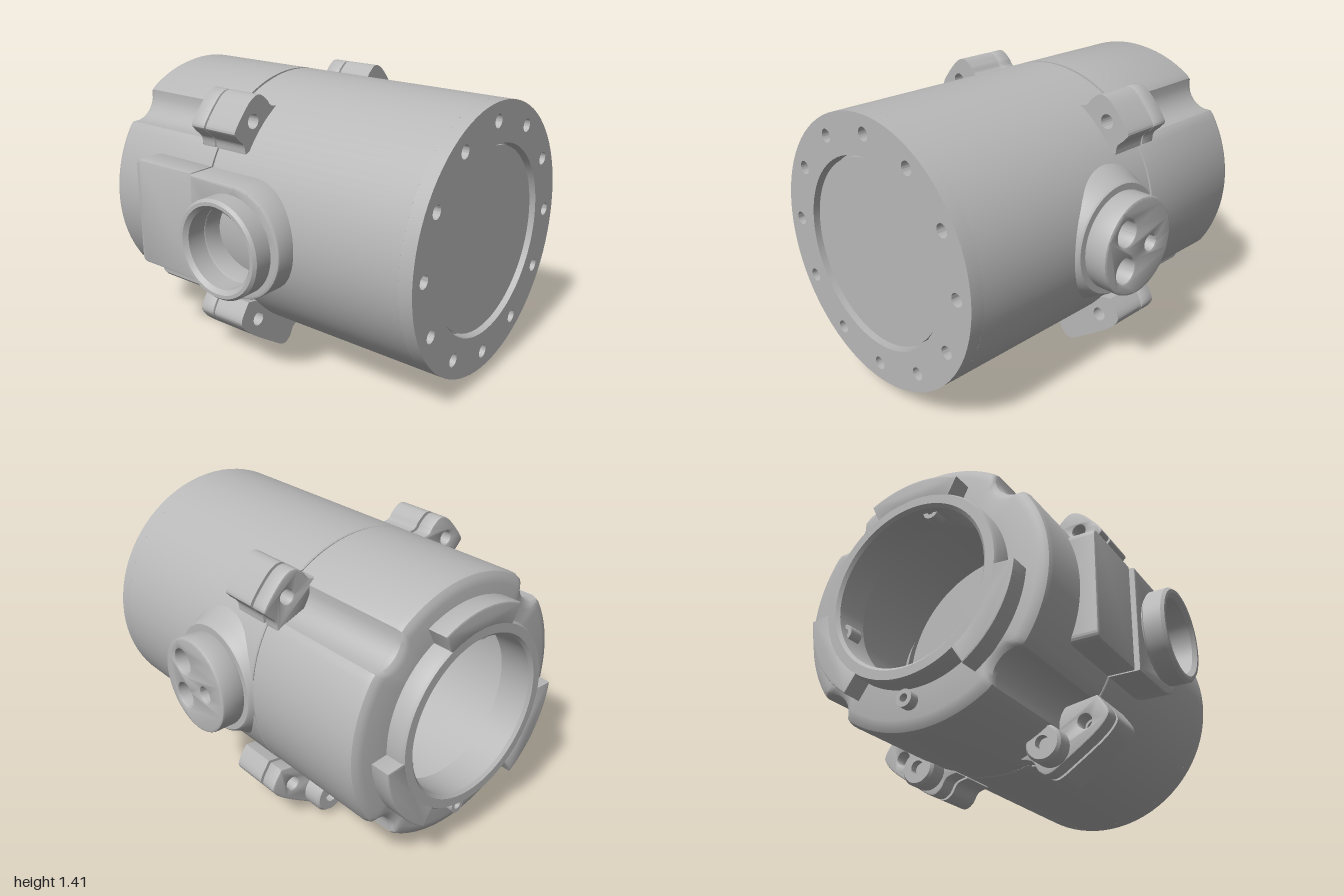
import * as THREE from 'three';
import { toCreasedNormals } from 'three/addons/utils/BufferGeometryUtils.js';

const metal = new THREE.MeshStandardMaterial({ color: 0xb8b8b8 });
metal.name = 'grey metal';
const V = (x, y) => new THREE.Vector2(x, y);
const R = 0.67; // main body radius

function part(parent, name, geo) {
  const mesh = new THREE.Mesh(toCreasedNormals(geo, 0.6), metal);
  mesh.name = name;
  parent.add(mesh);
  return mesh;
}

// Profile of [axial, radius] pairs turned about y; then laid along x or z
const turn = (profile, segments = 96) =>
  new THREE.LatheGeometry(profile.map(([a, r]) => V(r, a)), segments);
const turnX = (profile, segments) => turn(profile, segments).rotateZ(-Math.PI / 2);
const turnZ = (profile, segments) => turn(profile, segments).rotateX(Math.PI / 2);

// Extrusion between two positions on z or x, keeping its outline when bevelled
function extrudeZ(shape, from, to, bevel = 0) {
  return new THREE.ExtrudeGeometry(shape, {
    depth: to - from - 2 * bevel, curveSegments: 40,
    bevelEnabled: bevel > 0, bevelSize: bevel, bevelThickness: bevel,
    bevelOffset: -bevel, bevelSegments: 2,
  }).translate(0, 0, from + bevel);
}
const extrudeX = (shape, from, to, bevel) => extrudeZ(shape, from, to, bevel).rotateY(Math.PI / 2);

function circle(x, y, r, Type = THREE.Path) {
  const c = new Type();
  c.absarc(x, y, r, 0, Math.PI * 2, false);
  return c;
}

// Body radius with shallow flutes in line with the four lugs
function flutedRadius(angle) {
  const d = 0.735, rho = 0.13;
  const a = Math.abs(((angle % (Math.PI / 2)) + Math.PI / 2) % (Math.PI / 2) - Math.PI / 4);
  const s = d * Math.sin(a);
  return s >= rho ? R : Math.min(R, d * Math.cos(a) - Math.sqrt(rho * rho - s * s));
}

export function createModel() {
  const model = new THREE.Group();
  model.name = 'cylindrical housing';
  const g = new THREE.Group();
  g.name = 'housing assembly';
  g.position.set(0, 0.75, -0.04);
  model.add(g);

  // Main housing and the seam behind it
  part(g, 'mainHousing', turnX([[-0.2, 0], [-0.2, 0.665], [-0.195, R], [0.93, R], [0.93, 0]]));
  part(g, 'seamRing', turnX([[-0.22, 0.58], [-0.22, 0.66], [-0.19, 0.66]]));

  // Bolted end flange with recessed cover
  const flange = circle(0, 0, R, THREE.Shape);
  flange.holes.push(circle(0, 0, 0.47));
  for (let i = 0; i < 12; i++) {
    const a = i * Math.PI / 6;
    flange.holes.push(circle(0.58 * Math.cos(a), 0.58 * Math.sin(a), 0.033));
  }
  part(g, 'endFlange', extrudeX(flange, 0.93, 1));
  part(g, 'endCover', turnX([[0.92, 0.455], [0.975, 0.455], [0.975, 0]]));

  // Hollow, fluted rear housing
  const shell = turnX([[-0.9, 0.41], [-0.9, 0.61], [-0.892, 0.64], [-0.88, 0.66], [-0.855, R],
    [-0.212, R], [-0.212, 0.57], [-0.82, 0.57], [-0.82, 0.41], [-0.9, 0.41]], 160);
  const p = shell.attributes.position;
  for (let i = 0; i < p.count; i++) {
    const y = p.getY(i), z = p.getZ(i);
    if (Math.hypot(y, z) < 0.605) continue;
    const k = flutedRadius(Math.atan2(y, z)) / R;
    p.setXYZ(i, p.getX(i), y * k, z * k);
  }
  part(g, 'rearHousing', shell);

  // Bayonet collar: ring, three tabs and three screws
  part(g, 'collarRing', turnX([[-0.89, 0.47], [-0.985, 0.47], [-1, 0.46], [-1, 0.415],
    [-0.985, 0.4], [-0.82, 0.4], [-0.82, 0.41]].reverse()));
  for (const middle of [90, 210, 330]) {
    const a = THREE.MathUtils.degToRad(middle - 26), b = THREE.MathUtils.degToRad(middle + 26);
    const tab = new THREE.Shape();
    tab.absarc(0, 0, 0.56, a, b, false);
    tab.absarc(0, 0, 0.45, b, a, true);
    part(g, 'collarTab', extrudeX(tab, -1, -0.89, 0.008));
  }
  for (const [r, deg] of [[0.41, 80], [0.41, 197], [0.53, 268]]) {
    const a = THREE.MathUtils.degToRad(deg);
    const screw = part(g, 'collarScrew', turnX([[-0.91, 0], [-0.91, 0.02], [-0.95, 0.02],
      [-0.95, 0.042], [-0.88, 0.042]], 24));
    screw.position.set(0, r * Math.sin(a), r * Math.cos(a));
  }

  // Lugs: the lower ones are longer and carry a bolt
  const upper = [[0.579, 0.37], [0.588, 0.416], [0.633, 0.461], [0.642, 0.498], [0.547, 0.611],
    [0.479, 0.643], [0.424, 0.611], [0.392, 0.575], [0.342, 0.566], [0.42, 0.43]];
  const lower = [[0.588, -0.402], [0.638, -0.48], [0.633, -0.525], [0.57, -0.589], [0.433, -0.684],
    [0.333, -0.743], [0.279, -0.725], [0.242, -0.67], [0.183, -0.652], [0.25, -0.55], [0.42, -0.43]];
  for (const side of [1, -1]) {
    for (const [outline, inner, hy, label] of [[upper, 1, 0.52, 'upperLug'], [lower, 2, -0.52, 'lowerLug']]) {
      const pts = outline.map(([z, y]) => V(z * side, y));
      const lug = new THREE.Shape();
      lug.moveTo(pts[0].x, pts[0].y);
      lug.splineThru(pts.slice(1, pts.length - inner));
      pts.slice(-inner).forEach((q) => lug.lineTo(q.x, q.y));
      lug.closePath();
      lug.holes.push(circle(0.52 * side, hy, 0.036));
      part(g, label, extrudeX(lug, -0.2, -0.01));
      part(g, label + 'Rear', extrudeX(lug, -0.3, -0.212, 0.008));
    }
    const bolt = part(g, 'lugBolt', turnX([[-0.36, 0], [-0.36, 0.035], [-0.4, 0.035], [-0.4, 0.08],
      [-0.385, 0.092], [-0.29, 0.092]], 32));
    bolt.position.set(0, -0.625, 0.35 * side);
  }

  // Front port: rounded boss, collar and side pad
  const cx = 0.078;
  const boss = new THREE.Shape();
  boss.moveTo(-0.2, -0.28);
  boss.lineTo(cx, -0.28);
  boss.absarc(cx, 0, 0.28, -Math.PI / 2, Math.PI / 2, false);
  boss.lineTo(-0.2, 0.28);
  boss.closePath();
  boss.holes.push(circle(cx, 0, 0.19));
  part(g, 'frontBoss', extrudeZ(boss, 0.5, 0.77, 0.012));
  part(g, 'frontPort', turnZ([[0.74, 0.23], [0.775, 0.23], [0.785, 0.245], [0.875, 0.245],
    [0.89, 0.232], [0.89, 0.215], [0.87, 0.195], [0.65, 0.195]], 64)).position.x = cx;

  const pad = new THREE.Shape();
  pad.moveTo(-0.212, -0.28);
  pad.lineTo(-0.212, 0.28);
  pad.lineTo(-0.575, 0.28);
  pad.quadraticCurveTo(-0.61, 0.28, -0.61, 0.245);
  pad.lineTo(-0.61, -0.245);
  pad.quadraticCurveTo(-0.61, -0.28, -0.575, -0.28);
  pad.closePath();
  part(g, 'frontPad', extrudeZ(pad, 0.585, 0.75, 0.012));

  // Back port: flared base and plug with three holes
  part(g, 'backBoss', turnZ([[-0.69, 0], [-0.69, 0.275], [-0.68, 0.285], [-0.64, 0.3],
    [-0.6, 0.33], [-0.54, 0.36]].map(([a, r]) => [a, r]), 64)).position.x = cx;
  const plug = circle(cx, 0, 0.245, THREE.Shape);
  plug.holes.push(circle(cx + 0.09, 0.095, 0.065), circle(cx + 0.09, -0.095, 0.065),
    circle(cx - 0.09, -0.01, 0.04));
  part(g, 'backPlug', extrudeZ(plug, -0.81, -0.685, 0.012));

  return model;
}
